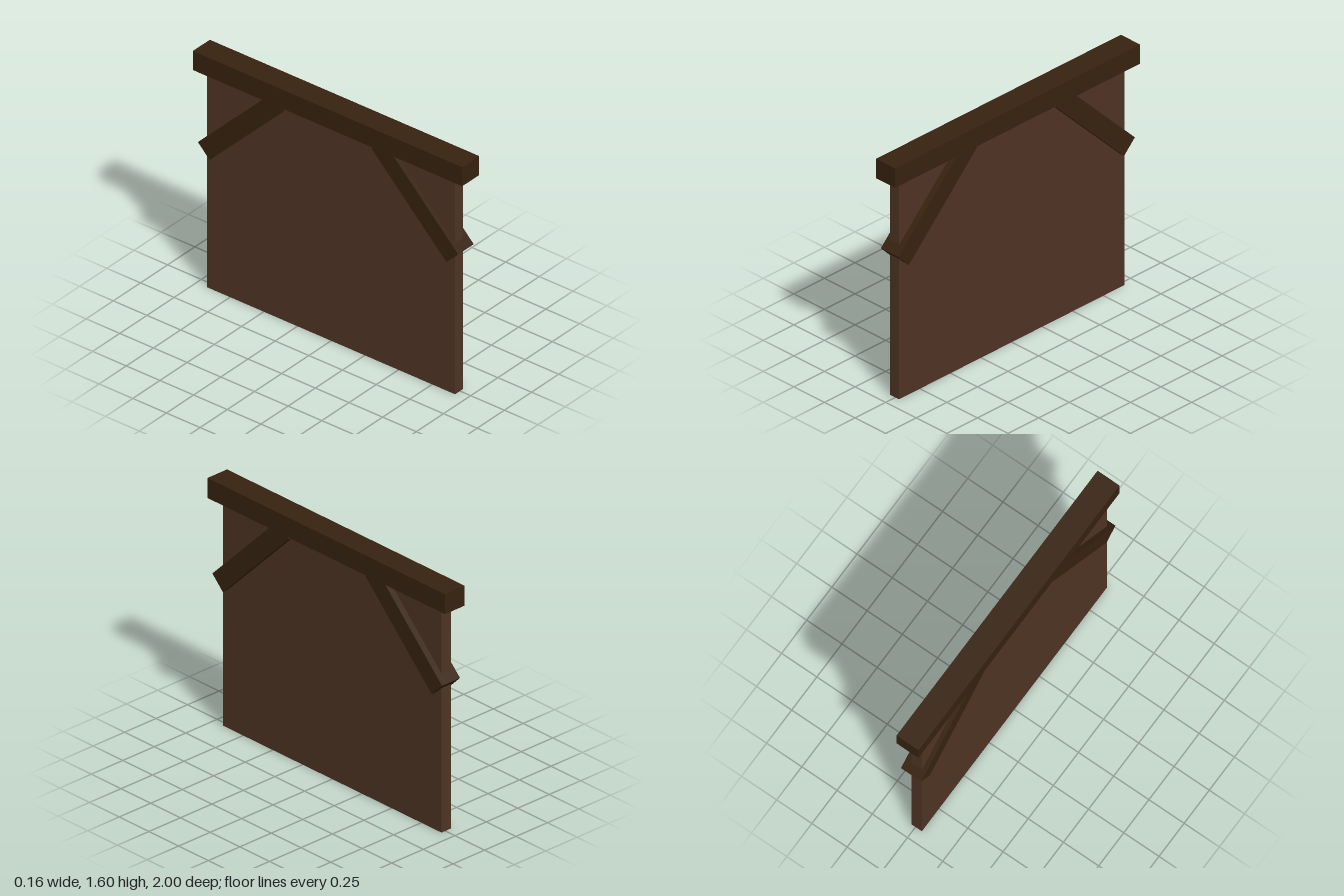
import * as THREE from 'three';

export function createModel() {
  const group = new THREE.Group();
  const darkWood = new THREE.MeshStandardMaterial({ color: 0x37220f });
  darkWood.name = 'darkWood';
  const panelWood = new THREE.MeshStandardMaterial({ color: 0x4f3424 });
  panelWood.name = 'panelWood';

  const addBox = (name, material, size, position) => {
    const mesh = new THREE.Mesh(new THREE.BoxGeometry(...size), material);
    mesh.name = name;
    mesh.position.set(...position);
    group.add(mesh);
    return mesh;
  };

  // Wall panel, slightly off centre under the beam
  addBox('wallPanel', panelWood, [0.075, 1.48, 1.84], [-0.0075, 0.74, 0]);

  // Top beam overhanging both ends
  addBox('topBeam', darkWood, [0.156, 0.13, 2], [0, 1.535, 0]);

  // Diagonal braces, passing through the panel and up into the beam
  for (const [name, side] of [['frontBrace', 1], ['backBrace', -1]]) {
    const brace = addBox(name, darkWood, [0.143, 0.124, 0.786], [-0.0015, 1.222, side * 0.645]);
    brace.rotation.x = side * Math.PI / 4;
  }

  return group;
}
